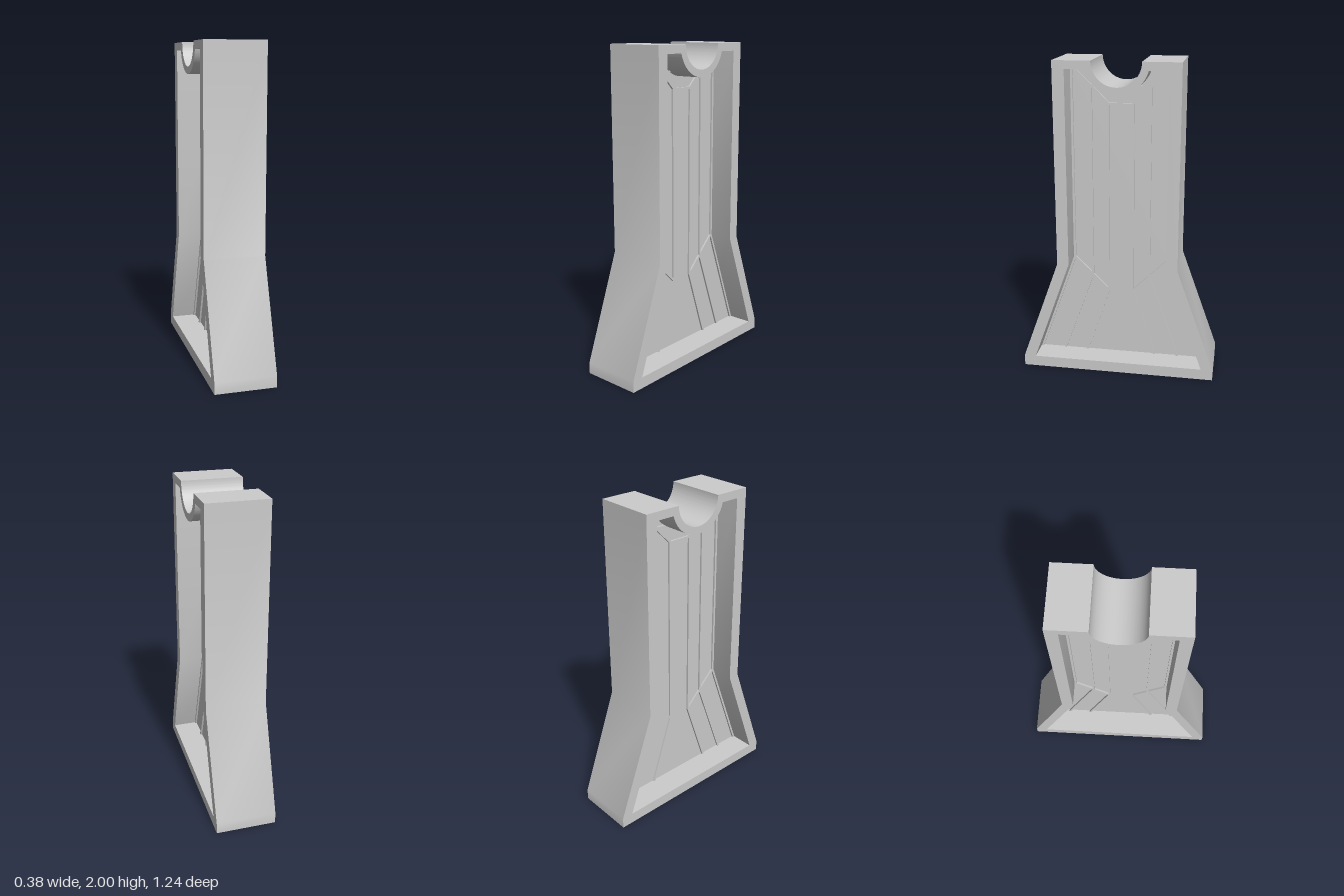
import * as THREE from 'three';
import { toCreasedNormals } from 'three/addons/utils/BufferGeometryUtils.js';

const HALF_WIDTH = 0.19; // half thickness of the pier along x
const WEB = 0.025;       // half thickness of the recessed web
const RIB = 0.037;       // half reach of the ribs along x
const SADDLE_R = 0.15, RING_R = 0.195, TOP = 2, SOFFIT = 1.95;

const material = new THREE.MeshStandardMaterial({ color: 0xcccccc });

// Extrude a side profile (z, y) symmetrically along x
function slab(shape, half, name) {
  let g = new THREE.ExtrudeGeometry(shape, { depth: half * 2, bevelEnabled: false, curveSegments: 40 });
  g.translate(0, 0, -half);
  g.rotateY(Math.PI / 2);
  g = toCreasedNormals(g, 0.35);
  const mesh = new THREE.Mesh(g, material);
  mesh.name = name;
  return mesh;
}

// Opening inside the rim, dipping round the saddle ring at the top
function openingPath(path) {
  const a = Math.asin((TOP - SOFFIT) / RING_R);
  path.moveTo(-0.545, 0.07);
  path.lineTo(0.545, 0.07);
  path.lineTo(0.307, 0.735);
  path.lineTo(0.307, SOFFIT);
  path.absarc(0, TOP, RING_R, -a, -Math.PI + a, true);
  path.lineTo(-0.307, SOFFIT);
  path.lineTo(-0.307, 0.735);
  path.closePath();
  return path;
}

// Thin straight rib between two (z, y) points, showing on both web faces
function rib([z1, y1], [z2, y2]) {
  const dz = z2 - z1, dy = y2 - y1;
  const g = new THREE.BoxGeometry(RIB * 2, Math.hypot(dz, dy) + 0.004, 0.014);
  const mesh = new THREE.Mesh(g, material);
  mesh.position.set(0, (y1 + y2) / 2, (z1 + z2) / 2);
  mesh.rotation.x = Math.atan2(dz, dy);
  mesh.name = 'rib';
  return mesh;
}

export function createModel() {
  const model = new THREE.Group();
  model.name = 'pier';

  // Flared outer frame with a half-round saddle cut in the top
  const outline = new THREE.Shape();
  outline.moveTo(-0.62, 0);
  outline.lineTo(0.62, 0);
  outline.lineTo(0.62, 0.07);
  outline.lineTo(0.38, 0.735);
  outline.lineTo(0.38, TOP);
  outline.absarc(0, TOP, SADDLE_R, 0, -Math.PI, true);
  outline.lineTo(-0.38, TOP);
  outline.lineTo(-0.38, 0.735);
  outline.lineTo(-0.62, 0.07);
  outline.closePath();
  outline.holes.push(openingPath(new THREE.Path()));
  model.add(slab(outline, HALF_WIDTH, 'frame'));

  // Recessed web filling the frame
  model.add(slab(openingPath(new THREE.Shape()), WEB, 'web'));

  // Ribs: three bent uprights per side, joined by diagonals
  const ribs = new THREE.Group();
  ribs.name = 'ribs';
  const lines = [
    [[0.3, 1.95], [0.3, 0.735], [0.537, 0.07]],
    [[0.183, 1.84], [0.183, 0.62], [0.378, 0.07]],
    [[0.078, 1.735], [0.078, 0.515], [0.226, 0.07]],
    [[0.3, 1.95], [0.183, 1.84], [0.078, 1.735]],
    [[0.3, 0.735], [0.183, 0.62], [0.078, 0.515]],
    [[0.183, 1.838], [0.11, 1.838]],
    [[0.078, 1.73], [0, 1.73]],
  ];
  for (const side of [1, -1]) {
    for (const line of lines) {
      const pts = line.map(([z, y]) => [z * side, y]);
      for (let i = 1; i < pts.length; i++) ribs.add(rib(pts[i - 1], pts[i]));
    }
  }
  model.add(ribs);
  return model;
}
